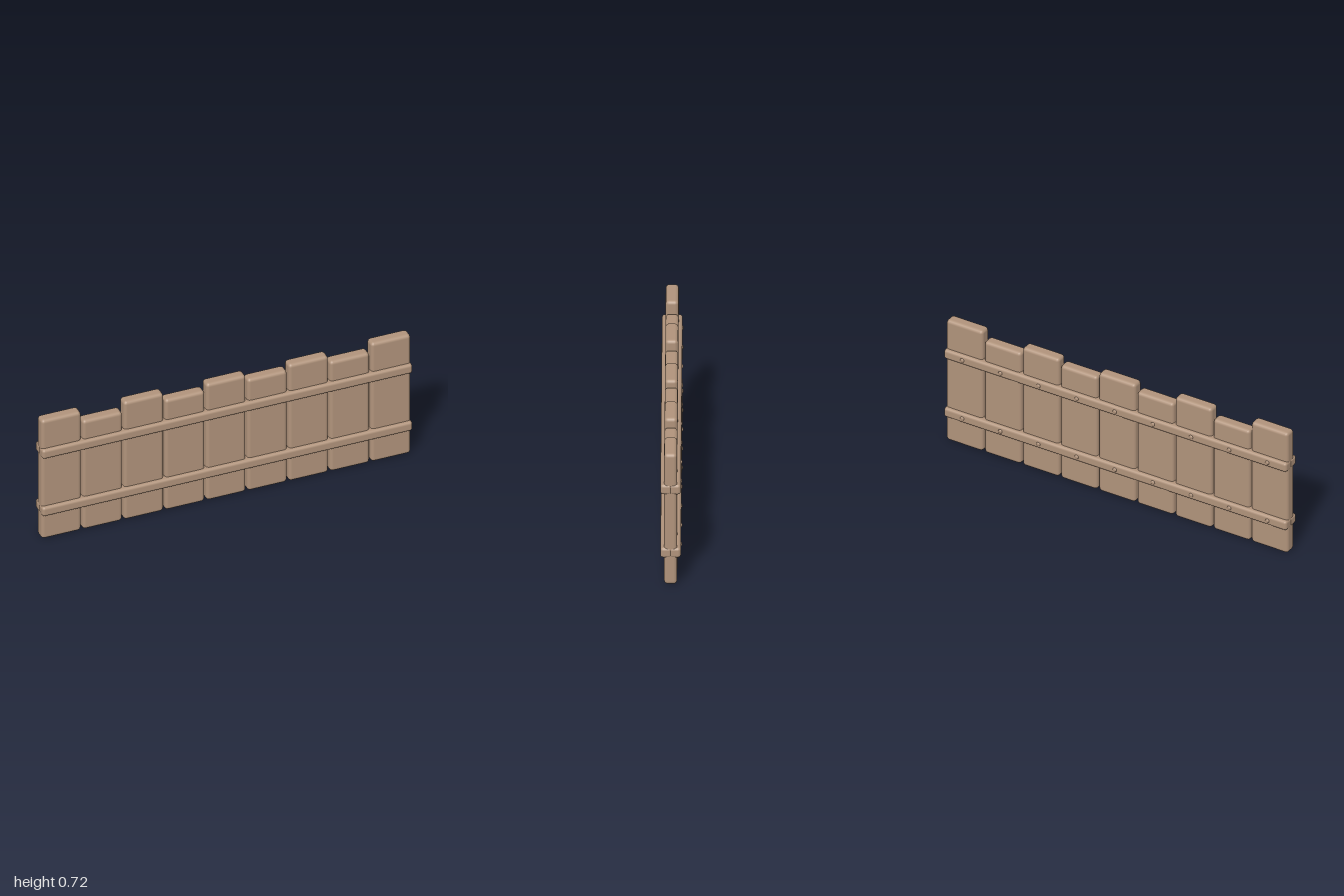
import * as THREE from 'three';
import { RoundedBoxGeometry } from 'three/addons/geometries/RoundedBoxGeometry.js';

export function createModel() {
  const group = new THREE.Group();
  const wood = new THREE.MeshStandardMaterial({ color: 0xb0937b });
  wood.name = 'wood';

  const add = (name, geometry, x, y, z) => {
    const mesh = new THREE.Mesh(geometry, wood);
    mesh.name = name;
    mesh.position.set(x, y, z);
    group.add(mesh);
    return mesh;
  };

  const pitch = 0.2225;
  const centreZ = 0.0025;
  const heights = [0.72, 0.66, 0.715, 0.67, 0.707, 0.677, 0.707, 0.667, 0.72];
  const railHeights = [0.175, 0.524];
  const plankX = (i) => (i - 4) * pitch;

  // Upright planks of alternating height
  heights.forEach((h, i) => {
    add('plank', new RoundedBoxGeometry(0.214, h, 0.065, 2, 0.018), plankX(i), h / 2, centreZ);
  });

  // Dome nail heads, shared by both back rails
  const nailGeometry = new THREE.SphereGeometry(0.012, 10, 5, 0, Math.PI * 2, 0, Math.PI / 2);
  nailGeometry.scale(1, 0.6, 1);
  nailGeometry.rotateX(-Math.PI / 2);

  for (const y of railHeights) {
    // Front and back rails clamp the planks and meet in the middle
    for (const side of [1, -1]) {
      add(side > 0 ? 'frontRail' : 'backRail',
        new RoundedBoxGeometry(2, 0.055, 0.058, 2, 0.015), 0, y, centreZ + side * 0.0225);
    }
    // One nail per plank on the back
    heights.forEach((_, i) => add('nail', nailGeometry, plankX(i), y, -0.0475));
  }
  return group;
}
